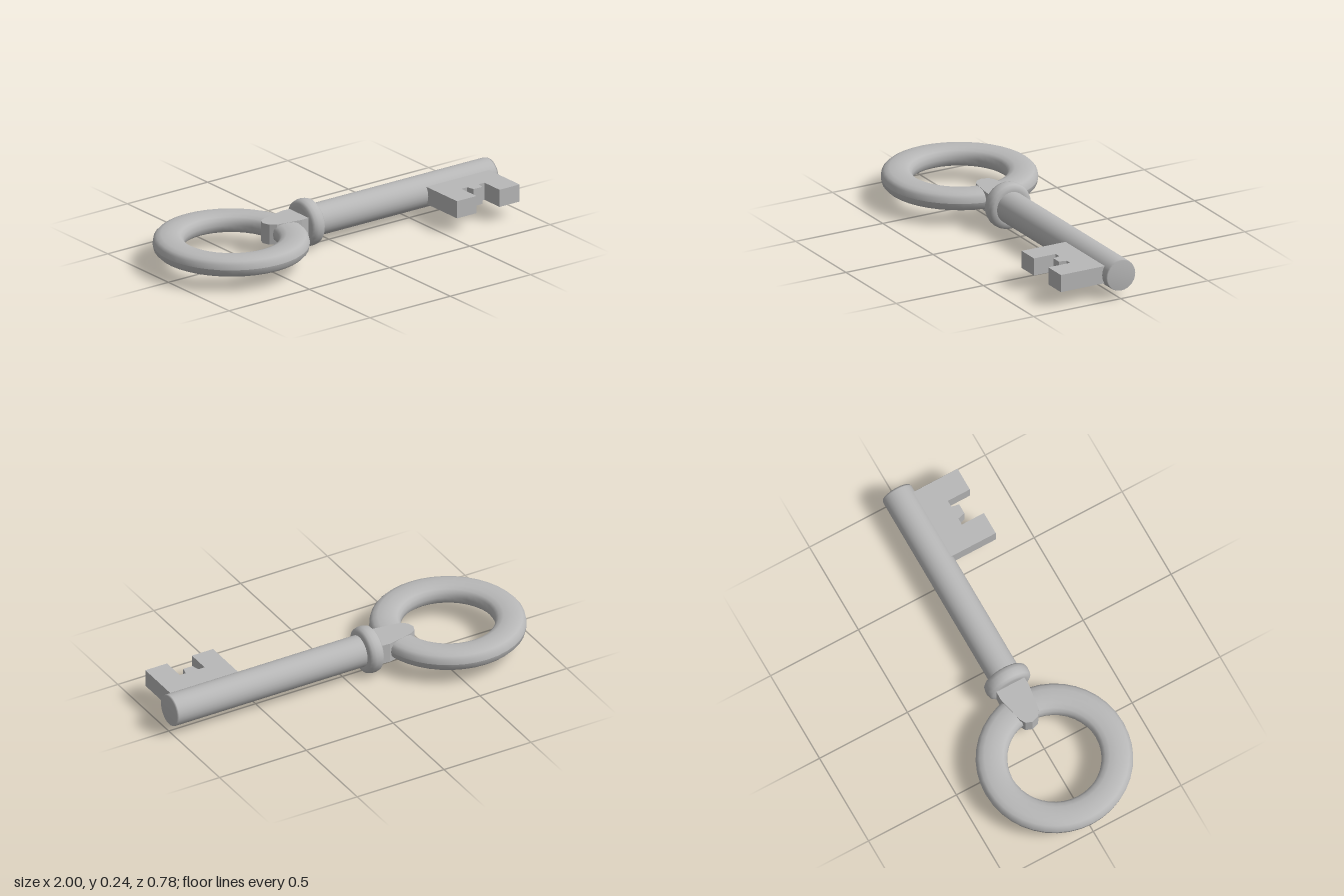
import * as THREE from 'three';

const AXIS_Y = 0.122;

export function createModel() {
  const key = new THREE.Group();
  key.name = 'key';
  const metal = new THREE.MeshStandardMaterial({ color: 0xb8b8b8 });
  metal.name = 'grey metal';

  const add = (name, geometry, x, y, z) => {
    const mesh = new THREE.Mesh(geometry, metal);
    mesh.name = name;
    mesh.position.set(x, y, z);
    key.add(mesh);
  };
  const lathe = (points, sides) =>
    new THREE.LatheGeometry(points.map(([r, h]) => new THREE.Vector2(r, h)), sides);
  // Turned parts lie along x
  const turned = (points, sides) => lathe(points, sides).rotateZ(-Math.PI / 2);
  // Flat plates are drawn in x and z and given a height in y
  const plate = (points, height) => {
    const shape = new THREE.Shape(points.map(([x, z]) => new THREE.Vector2(x, z)));
    return new THREE.ExtrudeGeometry(shape, { depth: height, bevelEnabled: false })
      .rotateX(Math.PI / 2);
  };

  // Ring handle: flattened round section swept about the vertical axis
  const section = [];
  for (let i = 0; i <= 16; i++) {
    const a = (i / 16) * Math.PI * 2;
    const c = Math.cos(a), s = Math.sin(a);
    section.push([
      0.313 + 0.079 * Math.sign(c) * Math.abs(c) ** 0.8,
      0.052 * Math.sign(s) * Math.abs(s) ** 0.75,
    ]);
  }
  add('ringHandle', lathe(section, 40), -0.607, AXIS_Y, -0.002);

  // Neck: tapered slab with a rounded tip over the ring
  add('neck', plate([
    [-0.15, -0.09], [-0.22, -0.094], [-0.36, -0.062], [-0.39, -0.045], [-0.402, -0.012],
    [-0.39, 0.025], [-0.36, 0.047], [-0.22, 0.068], [-0.15, 0.066],
  ], 0.106), 0, 0.175, 0);

  // Collar
  add('collar', turned([
    [0, -0.04], [0.085, -0.041], [0.103, -0.039], [0.116, -0.028], [0.121, -0.01],
    [0.121, 0.01], [0.116, 0.028], [0.103, 0.039], [0.085, 0.041], [0, 0.04],
  ], 28), -0.136, AXIS_Y, -0.008);

  // Shaft with a softly shaded end
  add('shaft', turned([
    [0.082, -0.13], [0.082, 0.9], [0.082, 0.99], [0.079, 1], [0, 1],
  ], 28), 0, AXIS_Y + 0.001, -0.004);

  // Bit: two teeth and a short middle stub
  add('bit', plate([
    [0.56, 0.03], [0.95, 0.03], [0.95, 0.315], [0.825, 0.315], [0.825, 0.19],
    [0.79, 0.19], [0.782, 0.23], [0.728, 0.23], [0.718, 0.19], [0.682, 0.19],
    [0.682, 0.315], [0.56, 0.315],
  ], 0.091), 0, 0.17, 0);

  return key;
}
